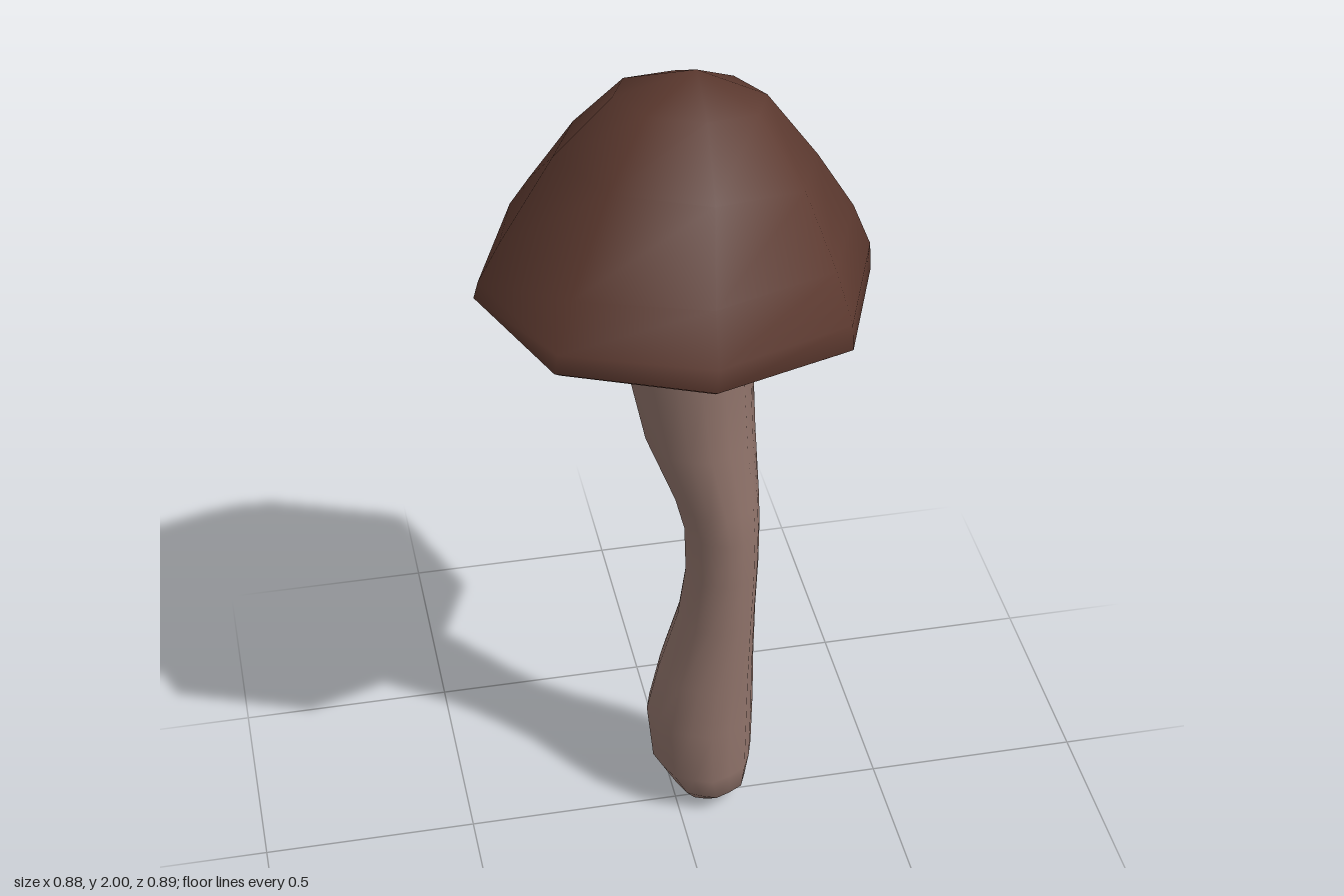
import * as THREE from 'three';
import { mergeVertices } from 'three/addons/utils/BufferGeometryUtils.js';

// Joins rings of n points (ordered so faces point outward); one material per band.
function loft(rings, bandMaterial) {
  const n = rings[0].length, index = [];
  const geometry = new THREE.BufferGeometry().setFromPoints(rings.flat());
  for (let j = 0; j < rings.length - 1; j++) {
    if (bandMaterial) geometry.addGroup(index.length, n * 6, bandMaterial(j));
    for (let i = 0; i < n; i++) {
      const a = j * n + i, b = j * n + (i + 1) % n;
      index.push(a, a + n, b, b, a + n, b + n);
    }
  }
  geometry.setIndex(index);
  const merged = mergeVertices(geometry, 1e-5);
  merged.computeVertexNormals();
  return merged;
}

// Ring through its left, right, back and front extremes; heights tilt with x and z.
function ring(n, [x0, x1, z0, z1], height, jag = () => 0) {
  return Array.from({ length: n }, (_, i) => {
    const a = (i / n) * Math.PI * 2;
    const x = Math.cos(a), z = Math.sin(a);
    return new THREE.Vector3((x0 + x1) / 2 + (x * (x1 - x0)) / 2, height(x, z) + jag(i),
      (z0 + z1) / 2 + (z * (z1 - z0)) / 2);
  });
}

export function createModel() {
  const group = new THREE.Group();
  const brown = new THREE.MeshStandardMaterial({ color: 0x5c392f });
  brown.name = 'dark brown';
  const pink = new THREE.MeshStandardMaterial({ color: 0x92756c });
  pink.name = 'dusty pink';
  const add = (name, geometry, material) => {
    const mesh = new THREE.Mesh(geometry, material);
    mesh.name = name;
    group.add(mesh);
  };

  // Cap: eight-sided leaning dome; [x0, x1, z0, z1, height, tilt x, tilt z]
  const capRings = [
    [-0.42, 0.415, -0.425, 0.425, 1.485, -0.018, 0.013],
    [-0.44, 0.435, -0.445, 0.445, 1.5, -0.018, 0.013],
    [-0.43, 0.43, -0.43, 0.44, 1.555, -0.005, 0.01],
    [-0.38, 0.39, -0.38, 0.385, 1.65, 0, 0.025],
    [-0.26, 0.31, -0.295, 0.28, 1.81, -0.03, 0.045],
    [-0.13, 0.2, -0.19, 0.15, 1.945, -0.015, 0.032],
    [0.05, 0.05, -0.03, -0.03, 2, 0, 0],
  ];
  const dome = capRings.map(([x0, x1, z0, z1, y, tx, tz]) => {
    const points = ring(8, [x0, x1, z0, z1], (x, z) => y + tx * x + tz * z);
    // Diagonal corners stand out slightly
    points.forEach((p, i) => { if (i % 2 && x1 > x0) { p.x *= 1.025; p.z *= 1.025; } });
    return points;
  });
  add('cap', loft(dome), brown);

  // Underside: shallow hollow with a ragged dark patch around the stem
  const lip = dome[0].flatMap((p, i) => [p, p.clone().lerp(dome[0][(i + 1) % 8], 0.5)]);
  const shrink = (s, lift, jag) => lip.map((p, i) => {
    const k = s + jag * Math.sin(i * 2.3);
    return new THREE.Vector3(p.x * k, p.y + lift, p.z * k);
  });
  add('capUnderside',
    loft([shrink(0.25, 0.06, 0), shrink(0.62, 0.045, 0.03), lip], (j) => j),
    [brown, pink]);

  // Stem: bent stalk with a bulbous foot; [height, x0, x1, z0, z1]
  const stemRings = [
    [0.005, 0.075, 0.075, -0.01, -0.01],
    [0.01, 0.03, 0.12, -0.05, 0.03],
    [0.06, -0.01, 0.18, -0.135, 0.085],
    [0.13, -0.05, 0.192, -0.155, 0.105],
    [0.28, -0.065, 0.195, -0.165, 0.115],
    [0.42, -0.04, 0.19, -0.135, 0.122],
    [0.6, 0, 0.185, -0.08, 0.13],
    [0.75, 0.014, 0.185, -0.045, 0.14],
    [0.87, 0.01, 0.185, -0.045, 0.148],
    [0.95, -0.01, 0.183, -0.06, 0.152],
    [1.12, -0.075, 0.175, -0.09, 0.158],
    [1.33, -0.118, 0.168, -0.12, 0.168],
    [1.45, -0.135, 0.185, -0.15, 0.185],
    [1.6, -0.15, 0.21, -0.17, 0.2],
  ];
  const ragged = 12;
  const stalk = stemRings.map(([y, ...box], j) => {
    const points = ring(16, box, (x, z) => y - (j === ragged ? 0.012 * (x + z) : 0),
      (i) => (j === ragged ? 0.018 * Math.sin(i * 2.3) : 0));
    // Flatten between the eight main edges
    points.forEach((p, i) => {
      if (i % 2) {
        p.x += ((box[0] + box[1]) / 2 - p.x) * 0.05;
        p.z += ((box[2] + box[3]) / 2 - p.z) * 0.05;
      }
    });
    return points;
  });
  add('stem', loft(stalk, (j) => (j >= ragged ? 1 : 0)), [pink, brown]);

  return group;
}
